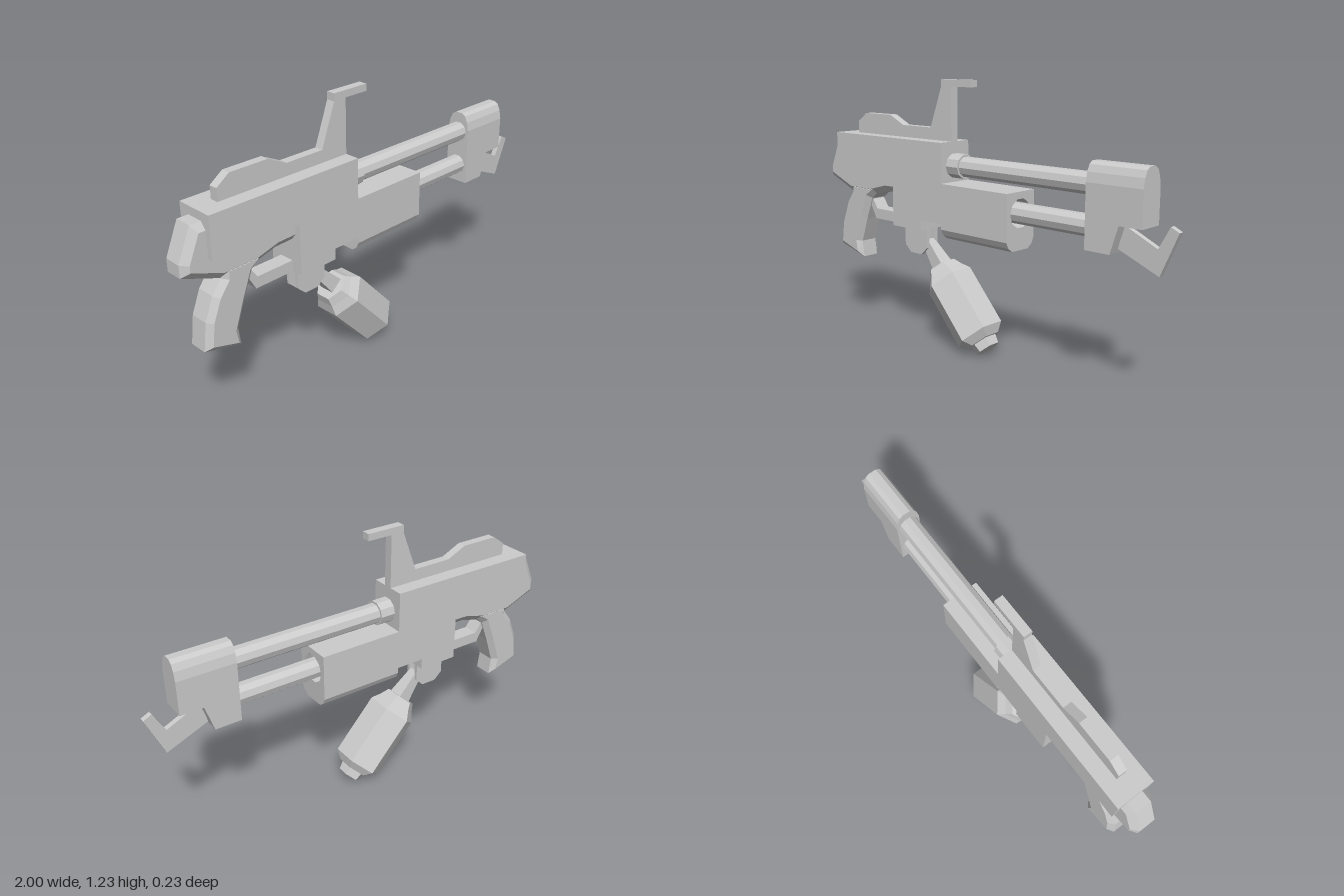
import * as THREE from 'three';

const material = new THREE.MeshStandardMaterial({ color: 0xcccccc, flatShading: true });

function add(parent, name, geometry, x = 0, y = 0, z = 0) {
  const mesh = new THREE.Mesh(geometry, material);
  mesh.name = name;
  mesh.position.set(x, y, z);
  parent.add(mesh);
  return mesh;
}

const outline = (points) => new THREE.Shape(points.map(([a, b]) => new THREE.Vector2(a, b)));

// Side profile (x, y) made into a plate centred on z, optionally with bevelled rims
function plate(points, halfWidth, bevel = 0, bevelDepth = bevel) {
  const depth = 2 * (halfWidth - bevelDepth);
  const g = new THREE.ExtrudeGeometry(outline(points), {
    depth, bevelEnabled: bevel > 0, bevelSize: bevel, bevelOffset: -bevel,
    bevelThickness: bevelDepth, bevelSegments: 1,
  });
  return g.translate(0, 0, -depth / 2);
}

// Cross-section (z, y) run along x
function runX(shape, x0, x1) {
  return new THREE.ExtrudeGeometry(shape, { depth: x1 - x0, bevelEnabled: false, curveSegments: 5 })
    .rotateY(Math.PI / 2).translate(x0, 0, 0);
}

function rod(parent, name, x0, x1, y, radius) {
  const g = new THREE.CylinderGeometry(radius, radius, x1 - x0, 10).rotateZ(Math.PI / 2);
  return add(parent, name, g, (x0 + x1) / 2, y, 0);
}

function block(parent, name, x0, x1, y0, y1, halfWidth) {
  const g = new THREE.BoxGeometry(x1 - x0, y1 - y0, halfWidth * 2);
  return add(parent, name, g, (x0 + x1) / 2, (y0 + y1) / 2, 0);
}

export function createModel() {
  const model = new THREE.Group();
  model.name = 'blaster';

  // Main housing
  block(model, 'upperBody', -0.89, -0.15, 0.783, 0.965, 0.088);
  add(model, 'lowerBody', plate([
    [-0.475, 0.783], [-0.475, 0.55], [-0.285, 0.55], [-0.285, 0.6], [-0.15, 0.6], [-0.15, 0.783],
  ], 0.088));

  // Front shroud with a bore
  const section = outline([
    [-0.088, 0.783], [-0.088, 0.575], [-0.075, 0.548], [-0.05, 0.53],
    [0.05, 0.53], [0.075, 0.548], [0.088, 0.575], [0.088, 0.783],
  ]);
  section.holes.push(new THREE.Path().absarc(0, 0.69, 0.065, 0, Math.PI * 2, true));
  add(model, 'shroud', runX(section, -0.15, 0.24));

  // Barrels
  rod(model, 'upperBarrel', -0.16, 0.63, 0.858, 0.046);
  rod(model, 'barrelCollar', -0.16, -0.08, 0.858, 0.056);
  rod(model, 'lowerBarrel', -0.16, 0.63, 0.69, 0.046);

  // Muzzle block: rounded top, with the lower part shorter
  add(model, 'muzzleBlock', runX(outline([
    [-0.058, 0.72], [0.058, 0.72], [0.058, 0.87], [0.05, 0.91], [0.037, 0.938], [0.018, 0.95],
    [-0.018, 0.95], [-0.037, 0.938], [-0.05, 0.91], [-0.058, 0.87],
  ]), 0.615, 0.872));
  add(model, 'muzzleBase', plate([
    [0.615, 0.72], [0.615, 0.603], [0.733, 0.603], [0.77, 0.72],
  ], 0.058));
  add(model, 'muzzleHook', plate([
    [0.74, 0.62], [0.925, 0.543], [1, 0.72], [0.963, 0.738], [0.914, 0.647], [0.765, 0.717],
  ], 0.012));

  // Thin top rail and sight
  add(model, 'sight', plate([
    [-0.8, 0.96], [-0.15, 0.96], [-0.15, 1.207], [-0.032, 1.207], [-0.032, 1.238],
    [-0.213, 1.238], [-0.213, 1.205], [-0.283, 1.02], [-0.47, 1.02], [-0.56, 1.063],
    [-0.74, 1.063], [-0.8, 1.02],
  ], 0.02));

  // Rear cap, lower frame and pistol grip
  add(model, 'rearFrame', plate([
    [-0.8, 0.928], [-0.94, 0.928], [-1, 0.79], [-1, 0.735], [-0.83, 0.668], [-0.67, 0.668],
    [-0.56, 0.697], [-0.44, 0.7], [-0.44, 0.82], [-0.8, 0.82],
  ], 0.063, 0.03, 0.025));
  add(model, 'grip', plate([
    [-0.83, 0.72], [-0.83, 0.668], [-0.875, 0.61], [-0.915, 0.51], [-0.932, 0.385],
    [-0.76, 0.34], [-0.77, 0.42], [-0.728, 0.54], [-0.685, 0.65], [-0.64, 0.685], [-0.64, 0.72],
  ], 0.063, 0.025, 0.022));

  // Trigger guard
  add(model, 'triggerGuard', plate([
    [-0.72, 0.65], [-0.665, 0.55], [-0.46, 0.55], [-0.46, 0.6], [-0.655, 0.6], [-0.69, 0.65],
  ], 0.035));

  // Hinge fork below the body
  const hinge = new THREE.Group();
  hinge.name = 'hinge';
  model.add(hinge);
  const ear = [[-0.45, 0.555], [-0.45, 0.455], [-0.412, 0.42], [-0.34, 0.42], [-0.302, 0.455], [-0.302, 0.555]];
  for (const side of [-1, 1]) {
    add(hinge, 'forkEar', plate(ear, 0.008), 0, 0, side * 0.027);
  }
  add(hinge, 'hingeBlock', plate([
    [-0.42, 0.555], [-0.42, 0.465], [-0.4, 0.445], [-0.352, 0.445], [-0.332, 0.465], [-0.332, 0.555],
  ], 0.022));

  // Tilted six-sided foregrip and its link
  const foregrip = new THREE.Group();
  foregrip.name = 'foregrip';
  foregrip.position.set(-0.187, 0.313, 0);
  foregrip.rotation.z = 0.735;
  model.add(foregrip);
  const profile = [
    [0, -0.365], [0.055, -0.365], [0.063, -0.325], [0.078, -0.325], [0.117, -0.29],
    [0.117, 0], [0.09, 0.04], [0.07, 0.078], [0, 0.078],
  ].map(([r, y]) => new THREE.Vector2(r, y));
  add(foregrip, 'foregripBody', new THREE.LatheGeometry(profile, 6));
  const link = new THREE.CylinderGeometry(0.03, 0.05, 0.15, 4, 1).rotateY(Math.PI / 4);
  add(foregrip, 'foregripLink', link, 0.008, 0.145, 0);

  return model;
}
